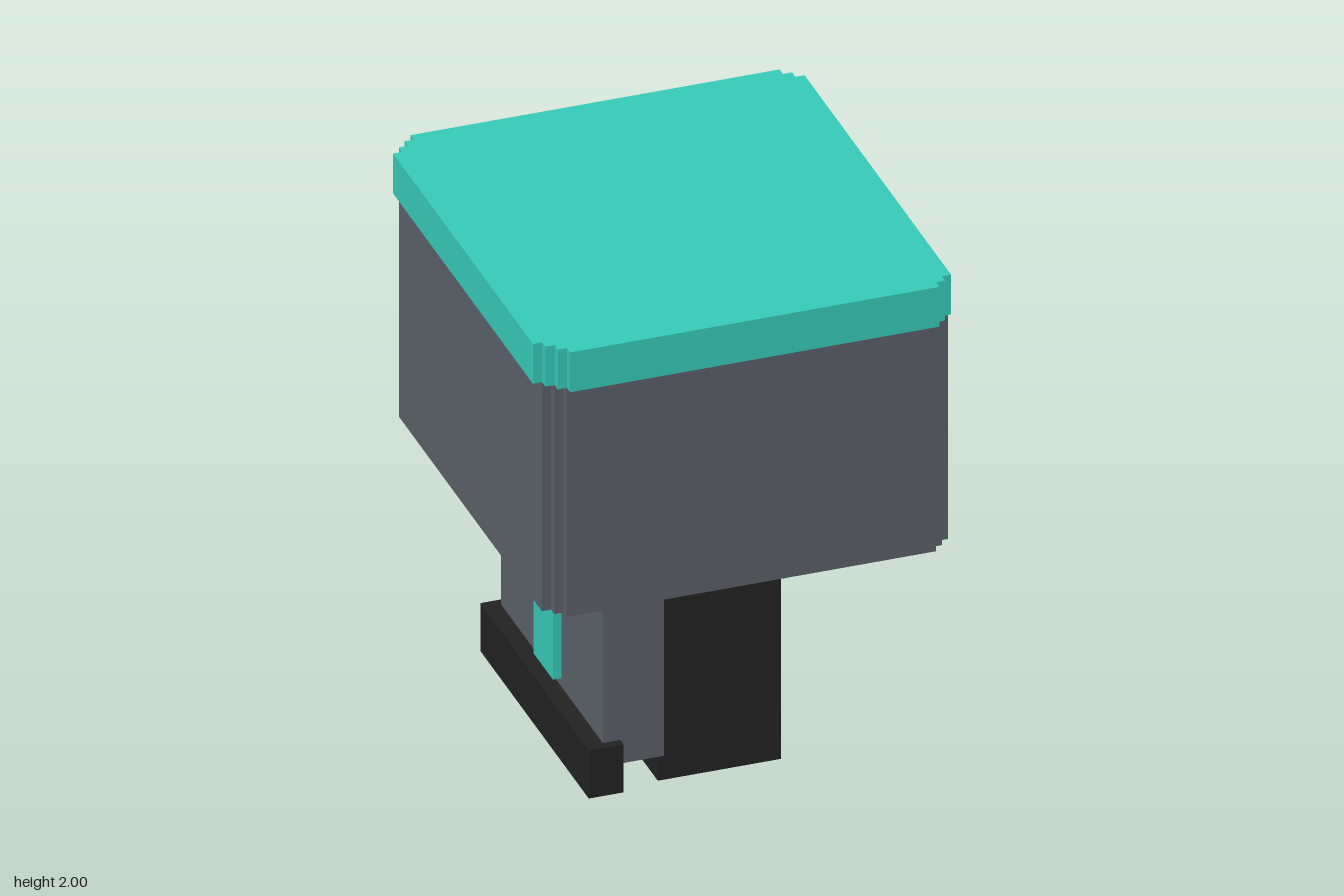
import * as THREE from 'three';

const STEP = 0.034;
const teal = new THREE.MeshStandardMaterial({ color: 0x36cab8, name: 'teal' });
const grey = new THREE.MeshStandardMaterial({ color: 0x5b6068, name: 'slateGrey' });
const black = new THREE.MeshStandardMaterial({ color: 0x222222, name: 'black' });

// Box given by its minimum and maximum on each axis
function block(name, material, [x0, x1], [y0, y1], [z0, z1]) {
  const mesh = new THREE.Mesh(new THREE.BoxGeometry(x1 - x0, y1 - y0, z1 - z0), material);
  mesh.position.set((x0 + x1) / 2, (y0 + y1) / 2, (z0 + z1) / 2);
  mesh.name = name;
  return mesh;
}

// Block whose vertical corners are cut in small stairs; left and right step counts may differ
function steppedBlock(name, material, [x0, x1], [y0, y1], [z0, z1], stepsLow, stepsHigh) {
  const points = [];
  const corner = (x, z, sx, sz, n, alongX) => {
    const stairs = [];
    for (let i = 0; i <= n; i++) {
      stairs.push([x - sx * i * STEP, z - sz * (n - i) * STEP]);
      if (i < n) stairs.push([x - sx * (i + 1) * STEP, z - sz * (n - i) * STEP]);
    }
    if (alongX) stairs.reverse();
    // shape y is -z, so that the extrusion can be stood upright
    stairs.forEach(([px, pz]) => points.push(new THREE.Vector2(px, -pz)));
  };
  corner(x0, z1, -1, 1, stepsLow, false);
  corner(x1, z1, 1, 1, stepsHigh, true);
  corner(x1, z0, 1, -1, stepsHigh, false);
  corner(x0, z0, -1, -1, stepsLow, true);
  const geometry = new THREE.ExtrudeGeometry(new THREE.Shape(points), { depth: y1 - y0, bevelEnabled: false });
  geometry.rotateX(-Math.PI / 2);
  const mesh = new THREE.Mesh(geometry, material);
  mesh.position.y = y0;
  mesh.name = name;
  return mesh;
}

export function createModel() {
  const model = new THREE.Group();
  model.name = 'blockModel';
  model.add(
    // Large head with its lid
    steppedBlock('lid', teal, [-0.773, 0.77], [1.84, 2], [-0.823, 0.82], 3, 2),
    steppedBlock('head', grey, [-0.74, 0.77], [0.92, 1.84], [-0.82, 0.787], 2, 2),
    // Post and the panel on its side
    block('post', black, [-0.215, 0.243], [0, 0.92], [-0.457, 0.46]),
    block('sidePanel', grey, [-0.443, -0.215], [0.135, 0.82], [-0.523, 0.525]),
    block('accentStrip', teal, [-0.475, -0.443], [0.265, 0.69], [-0.1, 0.1]),
    block('lowerBar', black, [-0.508, -0.378], [0.038, 0.23], [-0.556, 0.56])
  );
  return model;
}
